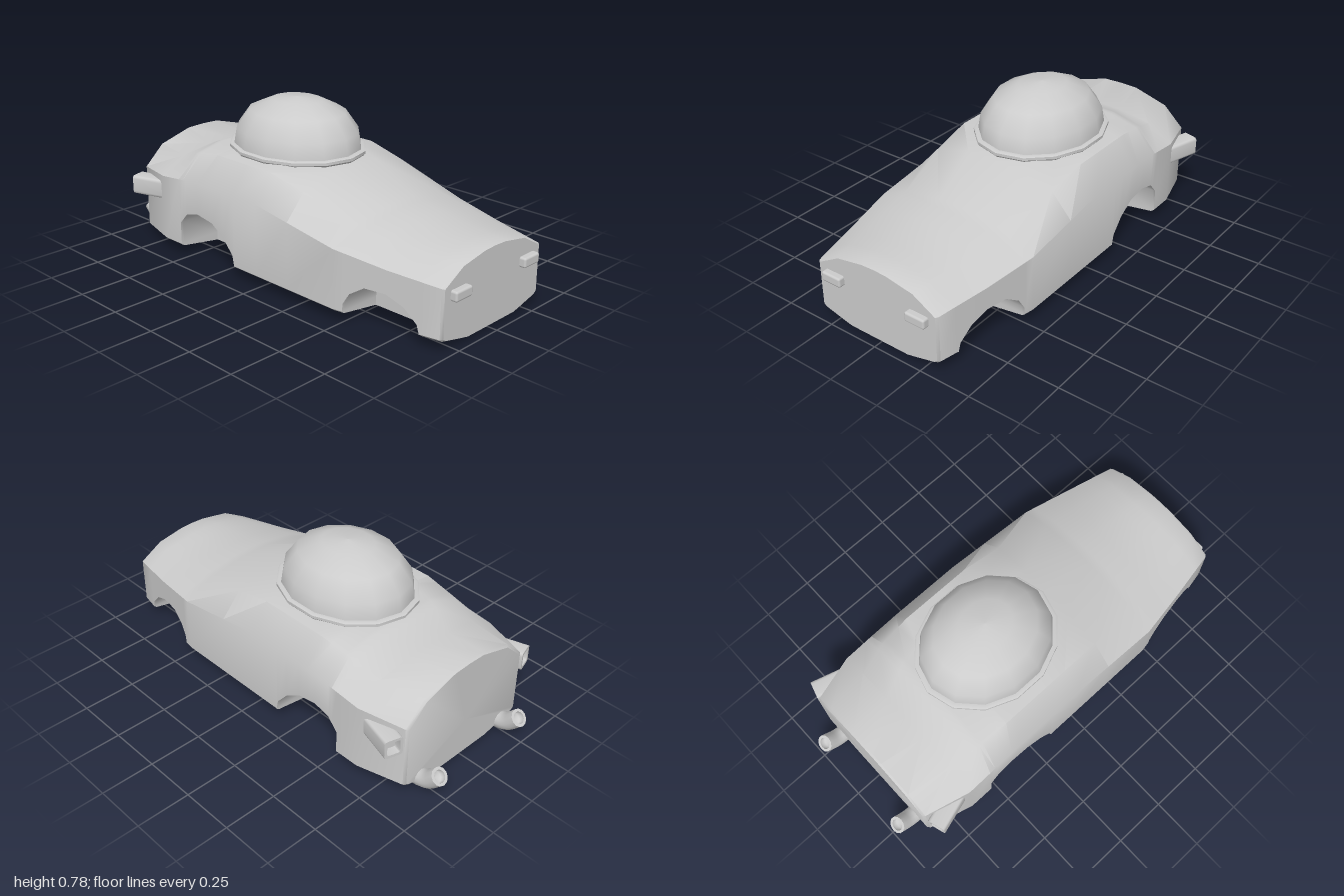
import * as THREE from 'three';
import { toCreasedNormals } from 'three/addons/utils/BufferGeometryUtils.js';
import { RoundedBoxGeometry } from 'three/addons/geometries/RoundedBoxGeometry.js';

const material = new THREE.MeshStandardMaterial({ color: 0xcccccc, side: THREE.DoubleSide });

function addMesh(parent, name, geometry) {
  const mesh = new THREE.Mesh(geometry, material);
  mesh.name = name;
  parent.add(mesh);
  return mesh;
}

// Body outline along z: [z, half width, shoulder y, mid x, mid y, top x, top y]
const keys = [
  [0.97, 0.325, 0.28, 0.21, 0.345, 0.07, 0.37],
  [0.72, 0.375, 0.30, 0.25, 0.36, 0.08, 0.385],
  [0.47, 0.42, 0.33, 0.28, 0.395, 0.09, 0.425],
  [0.2, 0.42, 0.37, 0.32, 0.48, 0.14, 0.525],
  [0.0, 0.42, 0.40, 0.33, 0.525, 0.2, 0.545],
  [-0.35, 0.42, 0.40, 0.33, 0.525, 0.2, 0.545],
  [-0.5, 0.42, 0.39, 0.32, 0.5, 0.18, 0.535],
  [-0.65, 0.42, 0.375, 0.29, 0.45, 0.12, 0.475],
  [-0.87, 0.36, 0.36, 0.26, 0.455, 0.09, 0.505],
];

// Wheel arches as [z, height], front to back
const arches = [
  [[0.87, 0.06], [0.86, 0.1], [0.8, 0.16], [0.72, 0.195], [0.62, 0.195], [0.55, 0.15], [0.52, 0.1], [0.515, 0.06]],
  [[-0.15, 0.06], [-0.16, 0.11], [-0.22, 0.18], [-0.3, 0.23], [-0.4, 0.245], [-0.48, 0.225], [-0.53, 0.17], [-0.53, 0.06]],
];
const wellX = 0.2;

function outlineAt(z) {
  let i = 0;
  while (i < keys.length - 2 && z < keys[i + 1][0]) i++;
  const t = (keys[i][0] - z) / (keys[i][0] - keys[i + 1][0]);
  return keys[i].map((v, k) => THREE.MathUtils.lerp(v, keys[i + 1][k], t));
}

// Closed cross-section, lifted over the wheels where there is an arch
function section({ z, arch, inset = 1 }) {
  const [, w, shoulderY, midX, midY, topX, topY] = outlineAt(z);
  const floorY = 0.015 + 0.035 * (wellX - 0.16) / (w - 0.16);
  const half = [
    [0.16, 0.015], [wellX, floorY], [wellX, arch ?? floorY], [w - 0.015, arch ?? 0.05],
    [w, arch ?? 0.062], [w, shoulderY], [midX, midY], [topX, topY],
  ];
  const mirrored = half.map(([x, y]) => [-x, y]).reverse();
  return [[0, 0.015], ...half, [0, topY + 0.003], ...mirrored]
    .map(([x, y]) => new THREE.Vector3(x * inset, 0.2 + (y - 0.2) * inset, z));
}

function bodyGeometry() {
  const stations = keys.slice(1, -1).map(k => ({ z: k[0] }))
    .filter(s => !arches.some(a => s.z <= a[0][0] && s.z >= a[7][0]));
  stations.push({ z: 0.97, inset: 0.975 }, { z: 0.96 }, { z: -0.86 }, { z: -0.87, inset: 0.975 });
  stations.sort((a, b) => b.z - a.z);
  for (const arch of arches) {
    const cut = [{ z: arch[0][0] }, ...arch.map(([z, y]) => ({ z, arch: y })), { z: arch[7][0] }];
    // keep the roof line's own stations inside the arch
    for (const [z] of keys) {
      const i = arch.findIndex((p, n) => n < 7 && p[0] > z && arch[n + 1][0] < z);
      if (i < 0) continue;
      const t = (arch[i][0] - z) / (arch[i][0] - arch[i + 1][0]);
      cut.push({ z, arch: THREE.MathUtils.lerp(arch[i][1], arch[i + 1][1], t), extra: true });
    }
    const extras = cut.filter(s => s.extra);
    const base = cut.filter(s => !s.extra);
    for (const e of extras) base.splice(base.findIndex(s => s.z < e.z), 0, e);
    const at = stations.findIndex(s => s.z < arch[0][0]);
    stations.splice(at, 0, ...base);
  }
  const rings = stations.map(section);
  const points = [];
  const tri = (a, b, c) => {
    const area = b.clone().sub(a).cross(c.clone().sub(a)).length();
    if (area > 1e-9) for (const p of [a, b, c]) points.push(p.x, p.y, p.z);
  };
  const n = rings[0].length;
  const first = rings[0], last = rings[rings.length - 1];
  const front = new THREE.Vector3(0, 0.2, first[0].z);
  const back = new THREE.Vector3(0, 0.2, last[0].z);
  for (let j = 0; j < n; j++) {
    const k = (j + 1) % n;
    for (let i = 0; i < rings.length - 1; i++) {
      tri(rings[i][j], rings[i + 1][j], rings[i + 1][k]);
      tri(rings[i][j], rings[i + 1][k], rings[i][k]);
    }
    tri(front, first[j], first[k]);
    tri(back, last[k], last[j]);
  }
  const geometry = new THREE.BufferGeometry();
  geometry.setAttribute('position', new THREE.Float32BufferAttribute(points, 3));
  return toCreasedNormals(geometry, 0.75);
}

function roundedRect(path, w, h, r) {
  const x = w / 2, y = h / 2;
  path.moveTo(-x + r, -y).lineTo(x - r, -y).quadraticCurveTo(x, -y, x, -y + r);
  path.lineTo(x, y - r).quadraticCurveTo(x, y, x - r, y);
  path.lineTo(-x + r, y).quadraticCurveTo(-x, y, -x, y - r);
  path.lineTo(-x, -y + r).quadraticCurveTo(-x, -y, -x + r, -y);
  return path;
}

export function createModel() {
  const car = new THREE.Group();
  car.name = 'bubbleCar';
  addMesh(car, 'body', bodyGeometry());

  // Bubble canopy and its rim, both stretched along z
  const lathe = pts => new THREE.LatheGeometry(pts.map(p => new THREE.Vector2(...p)), 14);
  const canopy = new THREE.Group();
  canopy.name = 'canopy';
  canopy.position.z = -0.165;
  canopy.scale.z = 1.18;
  car.add(canopy);
  addMesh(canopy, 'dome', lathe([[0.275, 0.53], [0.273, 0.56], [0.262, 0.63], [0.207, 0.715], [0.108, 0.765], [0, 0.777]]));
  addMesh(canopy, 'canopyRim', toCreasedNormals(
    lathe([[0.27, 0.5], [0.288, 0.535], [0.293, 0.54], [0.293, 0.553], [0.286, 0.557], [0.27, 0.557]]), 0.6));

  for (const side of [1, -1]) {
    const sideName = side > 0 ? 'left' : 'right';

    addMesh(car, sideName + 'Headlight', new RoundedBoxGeometry(0.104, 0.046, 0.05, 2, 0.01))
      .position.set(side * 0.229, 0.24, 0.975);

    // Rear side duct, a hollow box angled outward
    const duct = new THREE.Group();
    duct.name = sideName + 'Duct';
    duct.position.set(side * 0.42, 0.295, -0.853);
    duct.rotation.y = -side * 0.29;
    car.add(duct);
    const frame = roundedRect(new THREE.Shape(), 0.085, 0.09, 0.015);
    frame.holes.push(roundedRect(new THREE.Path(), 0.06, 0.064, 0.008));
    addMesh(duct, 'ductShell', toCreasedNormals(
      new THREE.ExtrudeGeometry(frame, { depth: 0.18, bevelEnabled: false, curveSegments: 3 }), 0.6));
    addMesh(duct, 'ductBack', new THREE.PlaneGeometry(0.062, 0.066)).position.z = 0.04;

    // Exhaust pipe, bending up behind the tail
    const x = side * 0.26;
    const path = new THREE.CatmullRomCurve3([
      [x, 0.055, -0.66], [x, 0.046, -0.76], [x, 0.044, -0.85], [x, 0.062, -0.91], [x, 0.115, -0.967],
    ].map(p => new THREE.Vector3(...p)));
    const exhaust = new THREE.Group();
    exhaust.name = sideName + 'Exhaust';
    car.add(exhaust);
    addMesh(exhaust, 'pipe', new THREE.TubeGeometry(path, 14, 0.041, 12));
    const end = path.getPointAt(1), ahead = end.clone().add(path.getTangentAt(1));
    const lip = addMesh(exhaust, 'pipeLip', new THREE.RingGeometry(0.028, 0.041, 12));
    lip.position.copy(end);
    lip.lookAt(ahead);
    const bore = addMesh(exhaust, 'pipeBore', new THREE.LatheGeometry(
      [[0, -0.03], [0.028, -0.03], [0.028, 0]].map(p => new THREE.Vector2(...p)), 12).rotateX(Math.PI / 2));
    bore.position.copy(end);
    bore.lookAt(ahead);
  }
  return car;
}
